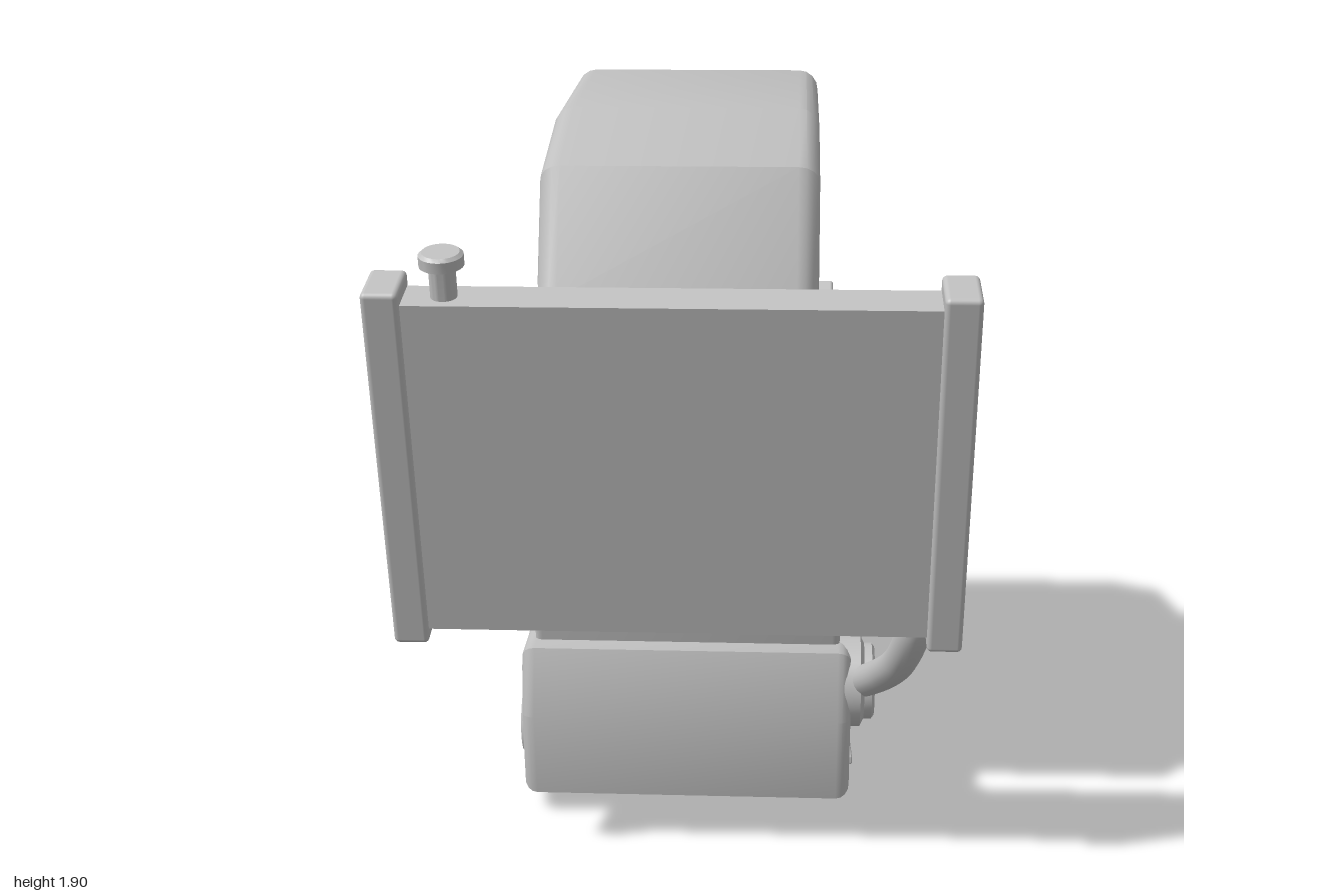
import * as THREE from 'three';
import { toCreasedNormals } from 'three/addons/utils/BufferGeometryUtils.js';
import { RoundedBoxGeometry } from 'three/addons/geometries/RoundedBoxGeometry.js';

const metal = new THREE.MeshStandardMaterial({ color: 0xc0c0c0 });
metal.name = 'grey metal';

export function createModel() {
  const model = new THREE.Group();
  model.name = 'engine';

  const add = (name, geometry, parent = model) => {
    const mesh = new THREE.Mesh(geometry, metal);
    mesh.name = name;
    parent.add(mesh);
    return mesh;
  };

  // Side outline of [z, y] points, extruded from x0 to x1 with rounded rims
  const slab = (name, outline, x0, x1, bevel) => {
    const shape = new THREE.Shape(outline.map(([z, y]) => new THREE.Vector2(-z, y)));
    const geometry = new THREE.ExtrudeGeometry(shape, {
      depth: x1 - x0 - 2 * bevel, bevelEnabled: true, bevelSize: bevel,
      bevelThickness: bevel, bevelOffset: -bevel, bevelSegments: 4,
    });
    geometry.translate(0, 0, x0 + bevel).rotateY(Math.PI / 2);
    return add(name, toCreasedNormals(geometry, 0.42));
  };

  // Turned cover facing sideways; profile is [radius, distance from x = 0]
  const cover = (name, side, y, z, profile, segments = 48) => {
    const geometry = new THREE.LatheGeometry(profile.map(([r, h]) => new THREE.Vector2(r, h)), segments);
    geometry.rotateZ(-side * Math.PI / 2).translate(0, y, z);
    return add(name, toCreasedNormals(geometry, 0.5));
  };

  const boltRing = (name, side, y, z, x, radius, count, size) => {
    for (let i = 0; i < count; i++) {
      const a = (i + 0.5) / count * Math.PI * 2;
      const bolt = add(name, new THREE.CylinderGeometry(size, size, 0.02, 10));
      bolt.rotation.z = Math.PI / 2;
      bolt.position.set(side * x, y + radius * Math.sin(a), z + radius * Math.cos(a));
    }
  };

  const hose = (name, points, radius) => {
    const curve = new THREE.CatmullRomCurve3(points.map(p => new THREE.Vector3(...p)));
    add(name, new THREE.TubeGeometry(curve, 40, radius, 20));
    for (const end of [0, 1]) {
      const cap = add(name + 'End', new THREE.CircleGeometry(radius, 20));
      const at = curve.getPointAt(end);
      cap.position.copy(at);
      cap.lookAt(at.clone().addScaledVector(curve.getTangentAt(end), end ? 1 : -1));
    }
  };

  // Main castings, bottom to top
  slab('crankcase', [[0.36, 0.47], [0.395, 0.29], [0.355, 0.06], [0.11, 0.01], [-0.27, 0.005],
    [-0.58, 0.05], [-0.55, 0.65], [-0.45, 0.615], [-0.28, 0.58], [-0.08, 0.53], [0.22, 0.475]], -0.43, 0.43, 0.035);
  slab('cylinderBlock', [[0.40, 0.9], [0.29, 0.42], [-0.46, 0.5], [-0.34, 0.9]], -0.4, 0.4, 0.02);
  slab('cylinderHead', [[0.435, 1.15], [0.445, 1.02], [0.41, 0.87], [-0.345, 0.87], [-0.265, 1.19]], -0.445, 0.445, 0.03);
  slab('headCover', [[0.405, 1.13], [0.385, 1.255], [0.27, 1.29], [-0.18, 1.295], [-0.265, 1.235], [-0.26, 1.15]],
    -0.375, 0.375, 0.025);
  slab('gearbox', [[-0.48, 0.67], [-0.70, 0.83], [-0.875, 0.875], [-0.92, 0.70], [-0.92, 0.30], [-0.84, 0.09],
    [-0.68, 0.03], [-0.48, 0.06]], -0.345, 0.225, 0.04);
  slab('airBox', [[0.74, 1.47], [0.63, 1.76], [0.30, 1.86], [-0.27, 1.905], [-0.65, 1.82], [-0.815, 1.63],
    [-0.71, 1.385], [-0.27, 1.32], [0.40, 1.32]], -0.325, 0.325, 0.05);
  slab('sprocketPlate', [[-0.83, 0.52], [-0.965, 0.46], [-1.0, 0.295], [-0.93, 0.13], [-0.77, 0.09],
    [-0.615, 0.21], [-0.625, 0.405]], 0.31, 0.345, 0.004);
  const shaft = add('sprocketShaft', new THREE.CylinderGeometry(0.05, 0.05, 0.14, 20));
  shaft.rotation.z = Math.PI / 2;
  shaft.position.set(0.25, 0.305, -0.8);

  // Cooling ribs, [z, y] of both ends and the x they reach
  const ribs = [
    [0.33, 0.805, -0.33, 0.805, 0.41], [0.31, 0.71, -0.35, 0.71, 0.41], [0.29, 0.615, -0.38, 0.615, 0.41],
    [0.28, 0.38, -0.53, 0.38, 0.44], [0.22, 0.245, -0.15, 0.165, 0.44], [0.265, 0.13, -0.02, 0.075, 0.44],
  ];
  for (const side of [-1, 1]) {
    for (const [z0, y0, z1, y1, x] of ribs) {
      const rib = add('coolingRib', new RoundedBoxGeometry(0.04, 0.025, Math.hypot(z1 - z0, y1 - y0), 2, 0.006));
      rib.position.set(side * (x - 0.02), (y0 + y1) / 2, (z0 + z1) / 2);
      rib.rotation.x = -Math.atan2(y0 - y1, z0 - z1);
    }
    // Air box mounts and cover bolts
    const mount = add('airBoxMount', new RoundedBoxGeometry(0.06, 0.085, 0.085, 2, 0.008));
    mount.position.set(side * 0.34, 1.335, 0.07);
    mount.rotation.x = Math.PI / 4;
    for (const z of [0.33, 0.14, -0.05, -0.21]) {
      const bolt = add('coverBolt', new THREE.CylinderGeometry(0.018, 0.018, 0.05, 12));
      bolt.position.set(side * 0.31, z > 0.3 || z < -0.2 ? 1.265 : 1.288, z);
    }
  }

  // Round side covers
  cover('clutchCover', 1, 0.42, -0.28,
    [[0.21, 0.38], [0.215, 0.44], [0.205, 0.453], [0.16, 0.472], [0.08, 0.488], [0, 0.492]]);
  boltRing('clutchBolt', 1, 0.42, -0.28, 0.452, 0.195, 8, 0.009);
  cover('waterPump', 1, 0.355, 0.255, [[0.12, 0.38], [0.12, 0.455], [0.1, 0.465], [0.1, 0.485], [0.09, 0.492], [0, 0.492]]);
  cover('flywheelCover', -1, 0.645, -0.31,
    [[0.255, 0.36], [0.255, 0.455], [0.24, 0.48], [0.185, 0.51], [0.17, 0.525], [0.11, 0.53], [0.105, 0.55], [0, 0.55]]);
  boltRing('flywheelBolt', -1, 0.645, -0.31, 0.492, 0.215, 8, 0.009);
  boltRing('hubBolt', -1, 0.645, -0.31, 0.55, 0.07, 6, 0.014);
  cover('oilFilterCover', -1, 0.18, 0.12, [[0.11, 0.38], [0.11, 0.44], [0.095, 0.455], [0, 0.465]]);

  // Radiator, leaning forward at the top
  const radiator = new THREE.Group();
  radiator.name = 'radiator';
  radiator.position.set(0, 1.098, 0.82);
  radiator.rotation.x = 0.247;
  model.add(radiator);
  add('radiatorCore', new THREE.BoxGeometry(1.2, 0.85, 0.105), radiator);
  for (const side of [-1, 1]) {
    const tank = add('radiatorTank', new RoundedBoxGeometry(0.083, 0.918, 0.137, 3, 0.012), radiator);
    tank.position.x = side * 0.632;
  }
  const fillerProfile = [[0.03, 0], [0.03, 0.075], [0.05, 0.08], [0.05, 0.105], [0.042, 0.112], [0, 0.112]];
  const filler = add('fillerCap', toCreasedNormals(
    new THREE.LatheGeometry(fillerProfile.map(([r, h]) => new THREE.Vector2(r, h)), 28), 0.5), radiator);
  filler.position.set(-0.5, 0.42, 0);

  // Coolant hoses
  hose('upperHose', [[-0.53, 1.43, 0.86], [-0.525, 1.437, 0.75], [-0.49, 1.395, 0.65], [-0.43, 1.3, 0.54],
    [-0.345, 1.19, 0.42]], 0.042);
  hose('lowerHose', [[0.585, 0.74, 0.70], [0.565, 0.64, 0.66], [0.54, 0.535, 0.57], [0.51, 0.46, 0.46],
    [0.465, 0.385, 0.33], [0.445, 0.355, 0.27]], 0.042);

  return model;
}
